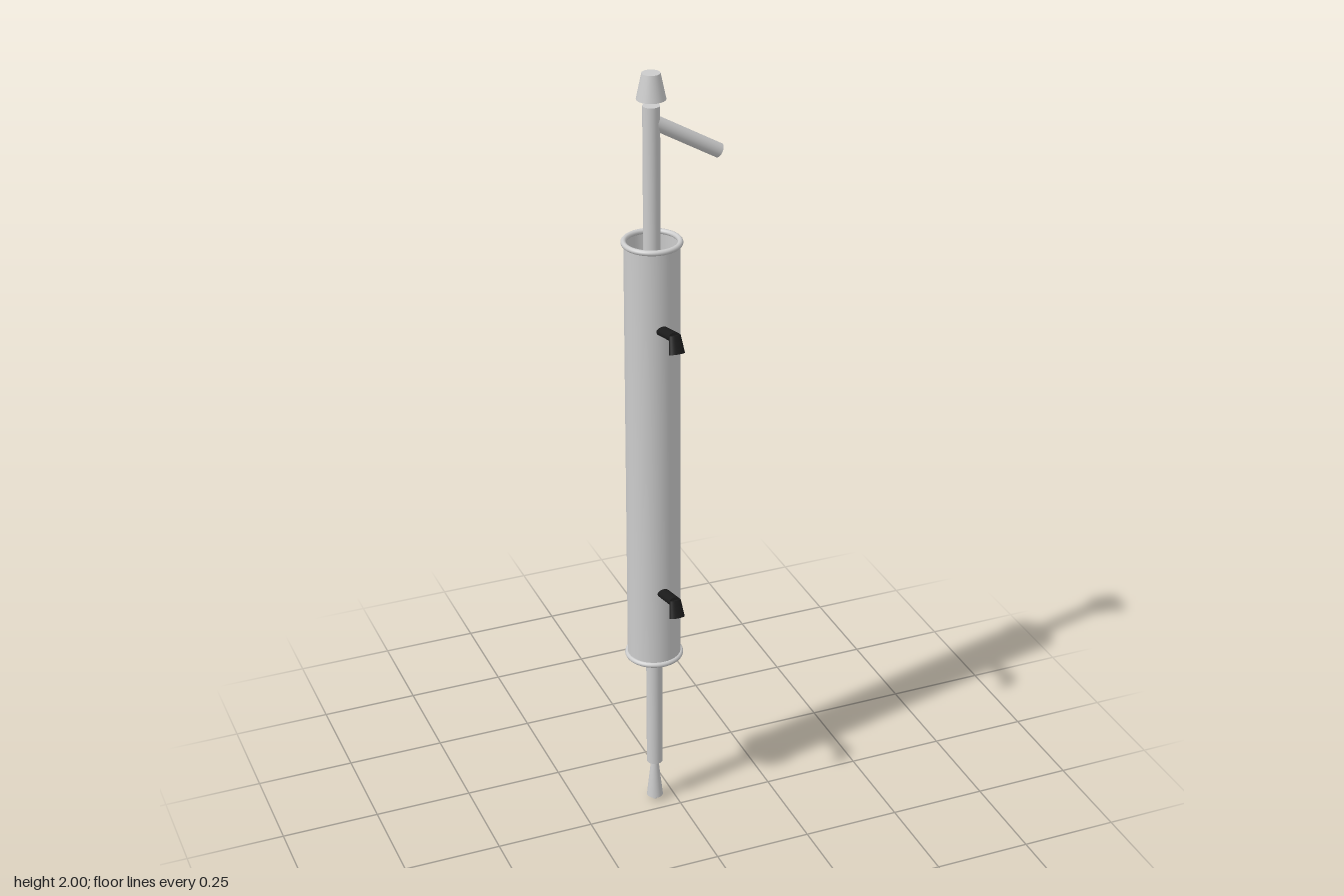
import * as THREE from 'three';

const grey = new THREE.MeshStandardMaterial({ color: 0xcccccc, side: THREE.DoubleSide });
const black = new THREE.MeshStandardMaterial({ color: 0x1a1a1a });
const UP = new THREE.Vector3(0, 1, 0);

function add(parent, name, geometry, material = grey) {
  const mesh = new THREE.Mesh(geometry, material);
  mesh.name = name;
  parent.add(mesh);
  return mesh;
}

// Closed round rod or cone between two points, optionally flattened across its path
function rod(parent, name, a, b, rStart, rEnd, material = grey, flat = 1) {
  const from = new THREE.Vector3(...a), to = new THREE.Vector3(...b);
  const dir = to.clone().sub(from);
  const mesh = add(parent, name, new THREE.CylinderGeometry(rEnd, rStart, dir.length(), 32), material);
  mesh.position.copy(from).add(to).multiplyScalar(0.5);
  mesh.quaternion.setFromUnitVectors(UP, dir.normalize());
  mesh.scale.z = flat;
  return mesh;
}

export function createModel() {
  const model = new THREE.Group();
  // Everything is built around the tube axis, which sits off centre
  const body = new THREE.Group();
  body.name = 'condenser';
  body.position.set(-0.053, 0, -0.048);
  model.add(body);

  // Central tube with its side arm
  rod(body, 'innerTube', [0, 0.12, 0], [0, 1.922, 0], 0.0205, 0.0205);
  rod(body, 'sideArm', [0, 1.885, 0], [0.169, 1.788, 0], 0.0175, 0.0175);

  // Tapered stopper floating just over the tube
  rod(body, 'stopper', [0, 1.938, 0], [0, 2, 0], 0.035, 0.022);

  // Flared drip tip with a small nub
  rod(body, 'dripTip', [0, 0.013, 0], [0, 0.12, 0], 0.021, 0.0095);
  rod(body, 'dripNub', [0, 0, 0], [0, 0.014, 0], 0.006, 0.006);

  // Open outer jacket with a rounded rim at each end
  const jacket = add(body, 'jacket', new THREE.CylinderGeometry(0.067, 0.067, 1.13, 64, 1, true));
  jacket.position.y = 1.02;
  for (const [name, y] of [['topRim', 1.585], ['bottomRim', 0.455]]) {
    const rim = add(body, name, new THREE.TorusGeometry(0.067, 0.0068, 12, 64));
    rim.rotation.x = Math.PI / 2;
    rim.position.y = y;
  }

  // Two bent hose connectors on the front
  for (const [name, y] of [['upperHosePort', 1.38], ['lowerHosePort', 0.66]]) {
    const port = new THREE.Group();
    port.name = name;
    port.position.y = y;
    body.add(port);
    rod(port, 'portArm', [0, -0.005, 0.03], [0, 0.021, 0.142], 0.0155, 0.0155, black, 0.75);
    rod(port, 'portNozzle', [0, 0.026, 0.142], [0, -0.016, 0.155], 0.0145, 0.02, black, 0.55);
  }

  return model;
}
